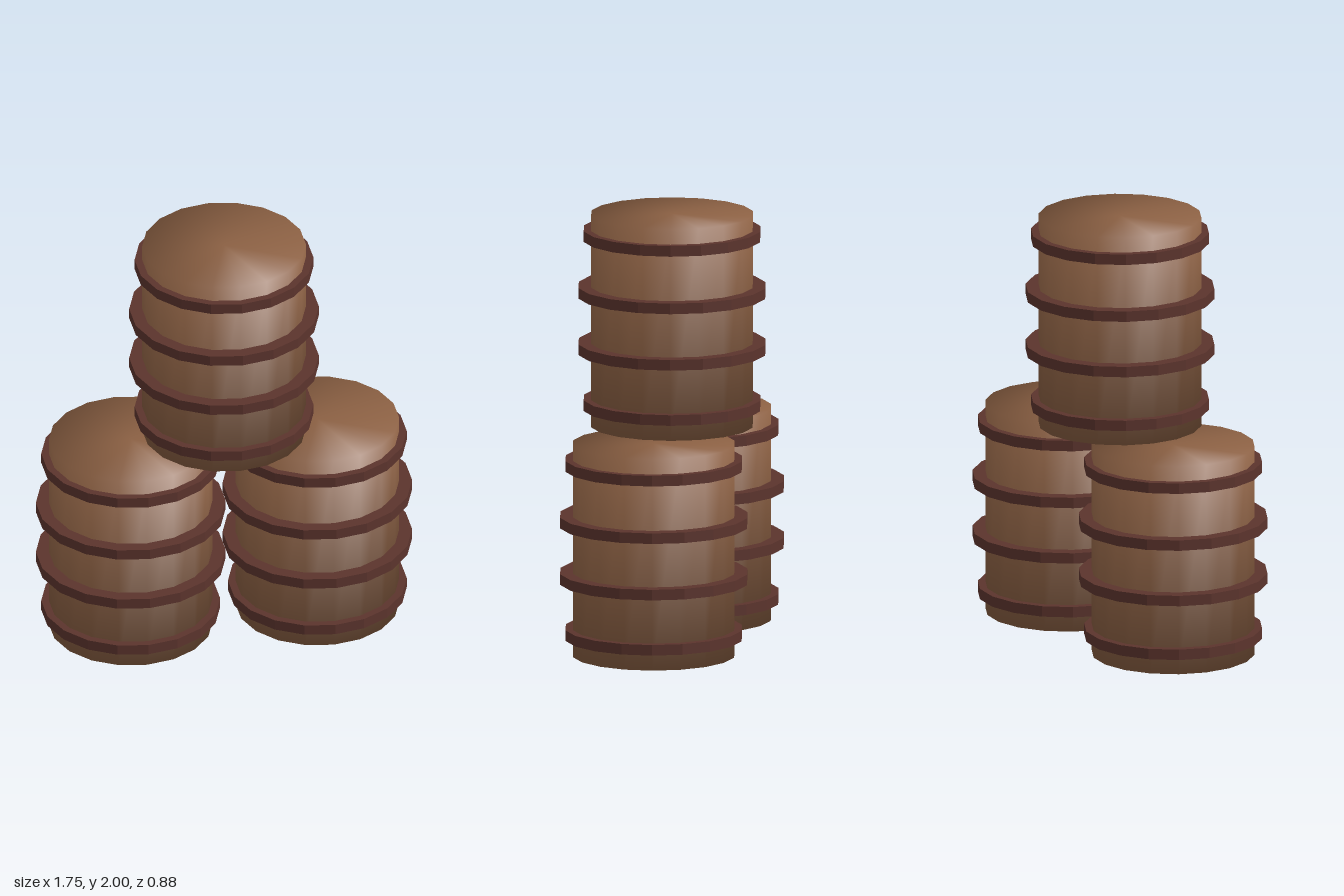
import * as THREE from 'three';

const SIDES = 18;
const RADIUS = 0.38;

// Closed cylinder shaded as one smooth pillow: rim normals lean 45 degrees outward
function bodyGeometry() {
  const geometry = new THREE.CylinderGeometry(RADIUS, RADIUS, 1, SIDES);
  const { position, normal } = geometry.attributes;
  for (let i = 0; i < position.count; i++) {
    const n = new THREE.Vector3(position.getX(i) / RADIUS, Math.sign(position.getY(i)), position.getZ(i) / RADIUS);
    n.multiplyScalar(Math.SQRT1_2);
    normal.setXYZ(i, n.x, n.y, n.z);
  }
  return geometry;
}

// Faceted band
function hoopGeometry(radius) {
  const geometry = new THREE.CylinderGeometry(radius, radius, 0.05, SIDES).toNonIndexed();
  geometry.computeVertexNormals();
  return geometry;
}

export function createModel() {
  const wood = new THREE.MeshStandardMaterial({ name: 'wood brown', color: 0x8b6043 });
  const band = new THREE.MeshStandardMaterial({ name: 'dark red brown', color: 0x5c342d });
  const body = bodyGeometry();
  const endHoop = hoopGeometry(0.415);
  const middleHoop = hoopGeometry(0.44);
  const hoops = [[0.103, endHoop], [0.369, middleHoop], [0.636, middleHoop], [0.903, endHoop]];

  function barrel(name, x, y) {
    const group = new THREE.Group();
    group.name = name;
    group.position.set(x, y, 0);
    const staves = new THREE.Mesh(body, wood);
    staves.name = 'barrelBody';
    staves.position.y = 0.5;
    group.add(staves);
    hoops.forEach(([height, geometry], i) => {
      const hoop = new THREE.Mesh(geometry, band);
      hoop.name = `hoop${i + 1}`;
      hoop.position.y = height;
      group.add(hoop);
    });
    return group;
  }

  // Two barrels on the ground, one stacked across them
  const model = new THREE.Group();
  model.name = 'barrelStack';
  model.add(
    barrel('leftBarrel', 0.442, 0),
    barrel('rightBarrel', -0.442, 0),
    barrel('topBarrel', 0, 1)
  );
  return model;
}
